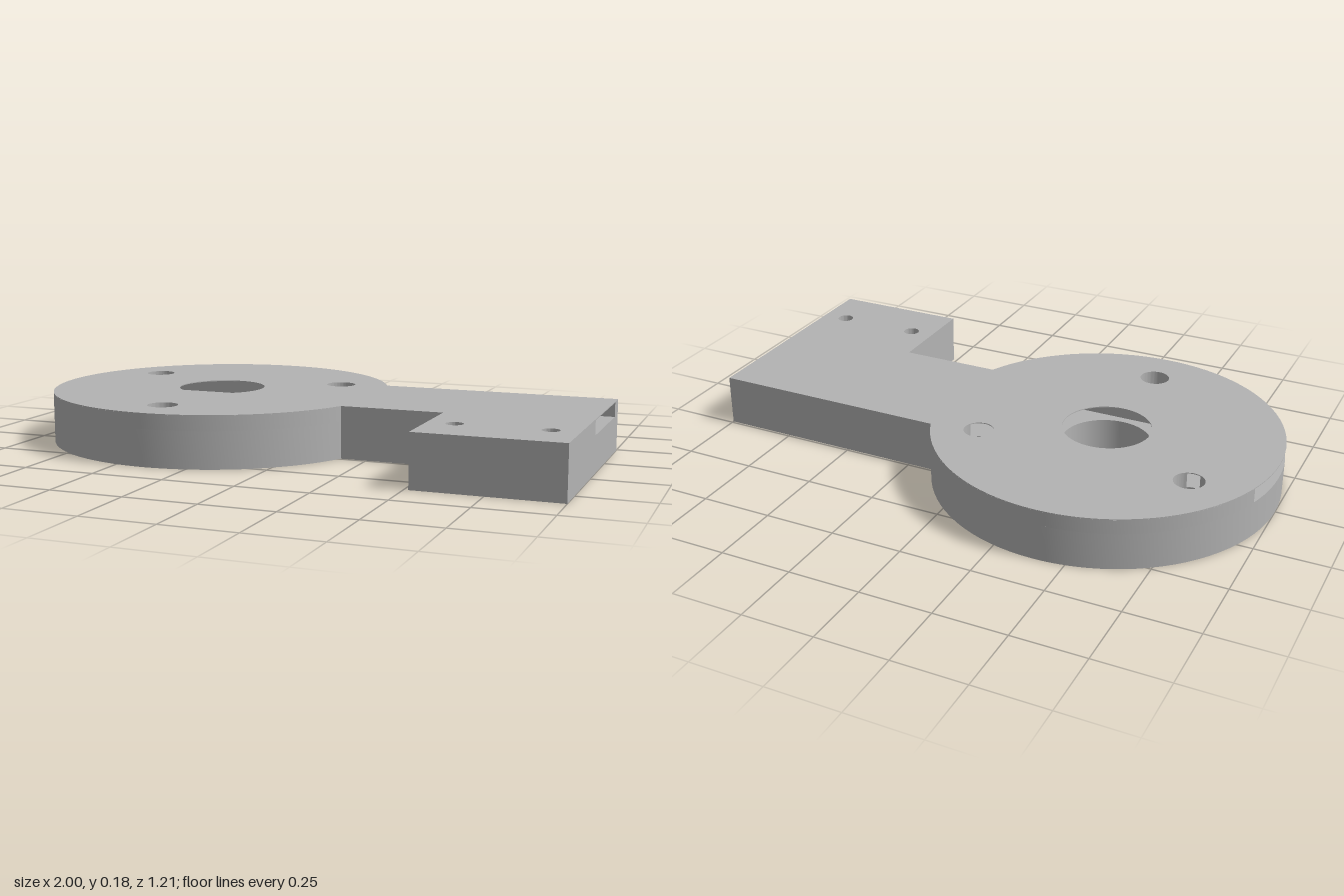
import * as THREE from 'three';
import { toCreasedNormals } from 'three/addons/utils/BufferGeometryUtils.js';

const TOP = 0.18, SLOT_TOP = 0.177, SLOT_FLOOR = 0.127; // heights
const CX = -0.395, R = 0.605;                           // round flange
const ARM = 0.242, SLOT = 0.183;                        // half widths
const TAB_X = 0.515;
const armAngle = Math.asin(ARM / R), slotAngle = Math.asin(SLOT / R);

// Screw holes, evenly spaced round the flange: front, back right, back left
const SCREW_R = 0.052;
const screws = [0, 1, 2].map((i) => {
  const a = THREE.MathUtils.degToRad(91.6 + 120 * i);
  return [CX + 0.439 * Math.cos(a), 0.439 * Math.sin(a), SCREW_R];
});
const tabHoles = [[0.605, 0.422, 0.029], [0.908, 0.422, 0.029]];

function addHoles(shape, list) {
  for (const [x, z, r] of list) shape.holes.push(new THREE.Path().absarc(x, z, r, 0, Math.PI * 2, false));
  return shape;
}

// Whole plan: flange, arm and side tab (shape y is model z)
function plateShape() {
  const s = new THREE.Shape();
  s.absarc(CX, 0, R, armAngle, Math.PI * 2 - armAngle, false);
  s.lineTo(1, -ARM);
  s.lineTo(1, R);
  s.lineTo(TAB_X, R);
  s.lineTo(TAB_X, ARM);
  s.closePath();
  return addHoles(s, [[CX, 0, 0.154], ...screws, ...tabHoles]);
}

// Material in front of the slot
function frontRailShape() {
  const s = new THREE.Shape();
  s.absarc(CX, 0, R, armAngle, Math.PI - slotAngle, false);
  s.lineTo(1, SLOT);
  s.lineTo(1, R);
  s.lineTo(TAB_X, R);
  s.lineTo(TAB_X, ARM);
  s.closePath();
  return addHoles(s, [screws[0], ...tabHoles]);
}

// Material behind the slot, where two screw holes break into the slot wall
function backRailShape() {
  const s = new THREE.Shape();
  s.absarc(CX, 0, R, Math.PI + slotAngle, Math.PI * 2 - armAngle, false);
  s.lineTo(1, -ARM);
  s.lineTo(1, -SLOT);
  for (const [x, z, r] of [screws[2], screws[1]]) {
    const a = Math.asin((-SLOT - z) / r);
    s.absarc(x, z, r, a, Math.PI - a, true);
  }
  s.closePath();
  return s;
}

export function createModel() {
  const group = new THREE.Group();
  group.name = 'slottedBracket';
  const grey = new THREE.MeshStandardMaterial({ color: 0xb3b3b3 });
  grey.name = 'plain grey';

  function layer(name, shape, y0, y1) {
    const geo = new THREE.ExtrudeGeometry(shape, { depth: y1 - y0, bevelEnabled: false, curveSegments: 40 });
    geo.rotateX(Math.PI / 2).translate(0, y1, 0);
    const mesh = new THREE.Mesh(toCreasedNormals(geo, 0.5), grey);
    mesh.name = name;
    group.add(mesh);
  }

  layer('basePlate', plateShape(), 0, SLOT_FLOOR);
  layer('frontRail', frontRailShape(), SLOT_FLOOR, SLOT_TOP);
  layer('backRail', backRailShape(), SLOT_FLOOR, SLOT_TOP);
  layer('topSkin', plateShape(), SLOT_TOP, TOP);
  return group;
}
